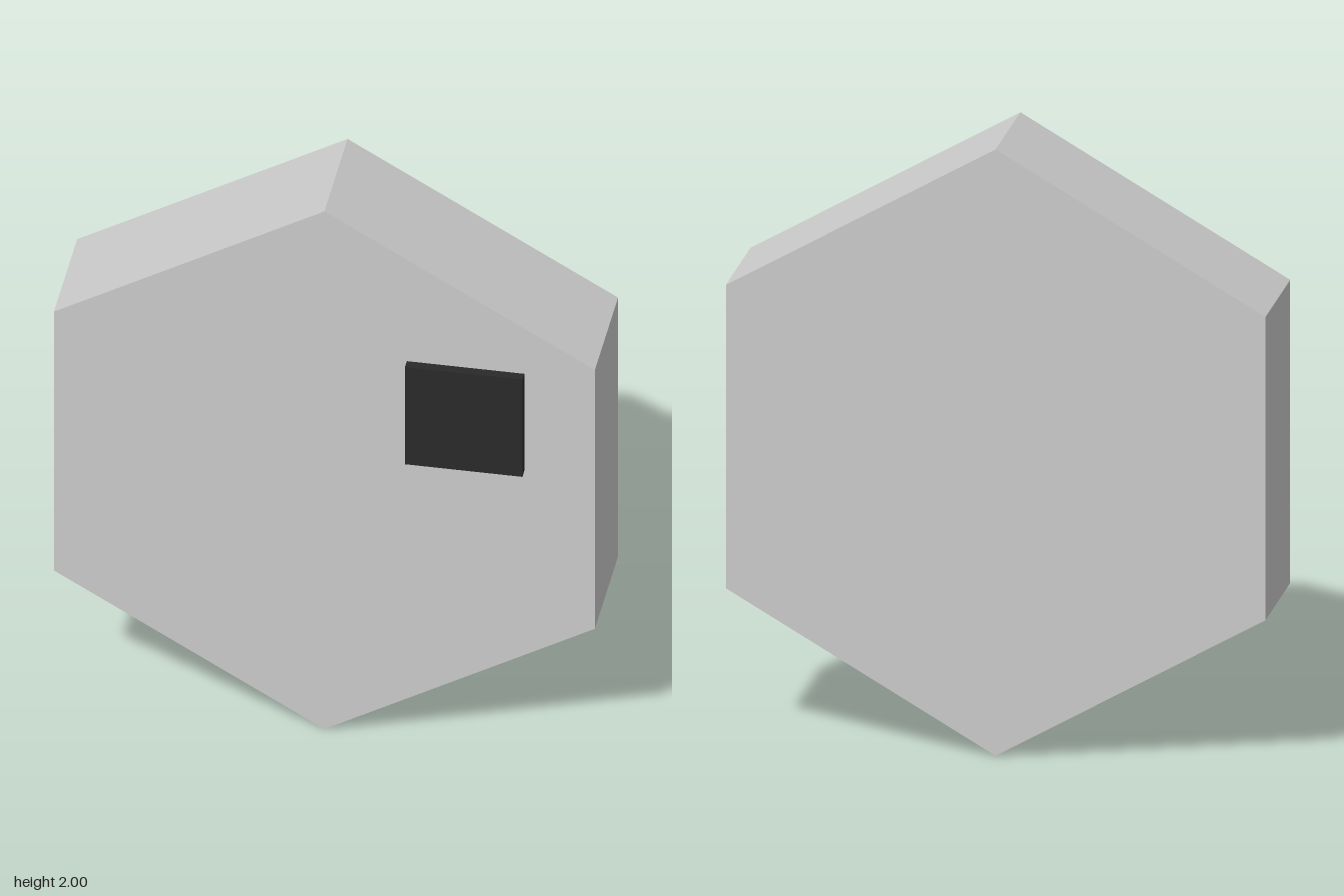
import * as THREE from 'three';

export function createModel() {
  const group = new THREE.Group();

  // Hexagonal slab standing on one corner
  const slabDepth = 0.4;
  const slabGeometry = new THREE.CylinderGeometry(1, 1, slabDepth, 6);
  slabGeometry.rotateX(Math.PI / 2);
  const slab = new THREE.Mesh(
    slabGeometry,
    new THREE.MeshStandardMaterial({ color: 0xcccccc, flatShading: true })
  );
  slab.name = 'hexagonalSlab';
  slab.position.set(0, 1, -0.016);
  group.add(slab);

  // Thin dark square panel on the front face
  const panelDepth = 0.032;
  const panel = new THREE.Mesh(
    new THREE.BoxGeometry(0.376, 0.376, panelDepth),
    new THREE.MeshStandardMaterial({ color: 0x2a2a2a })
  );
  panel.name = 'frontPanel';
  panel.position.set(0.452, 1.268, slab.position.z + slabDepth / 2 + panelDepth / 2);
  group.add(panel);

  return group;
}
